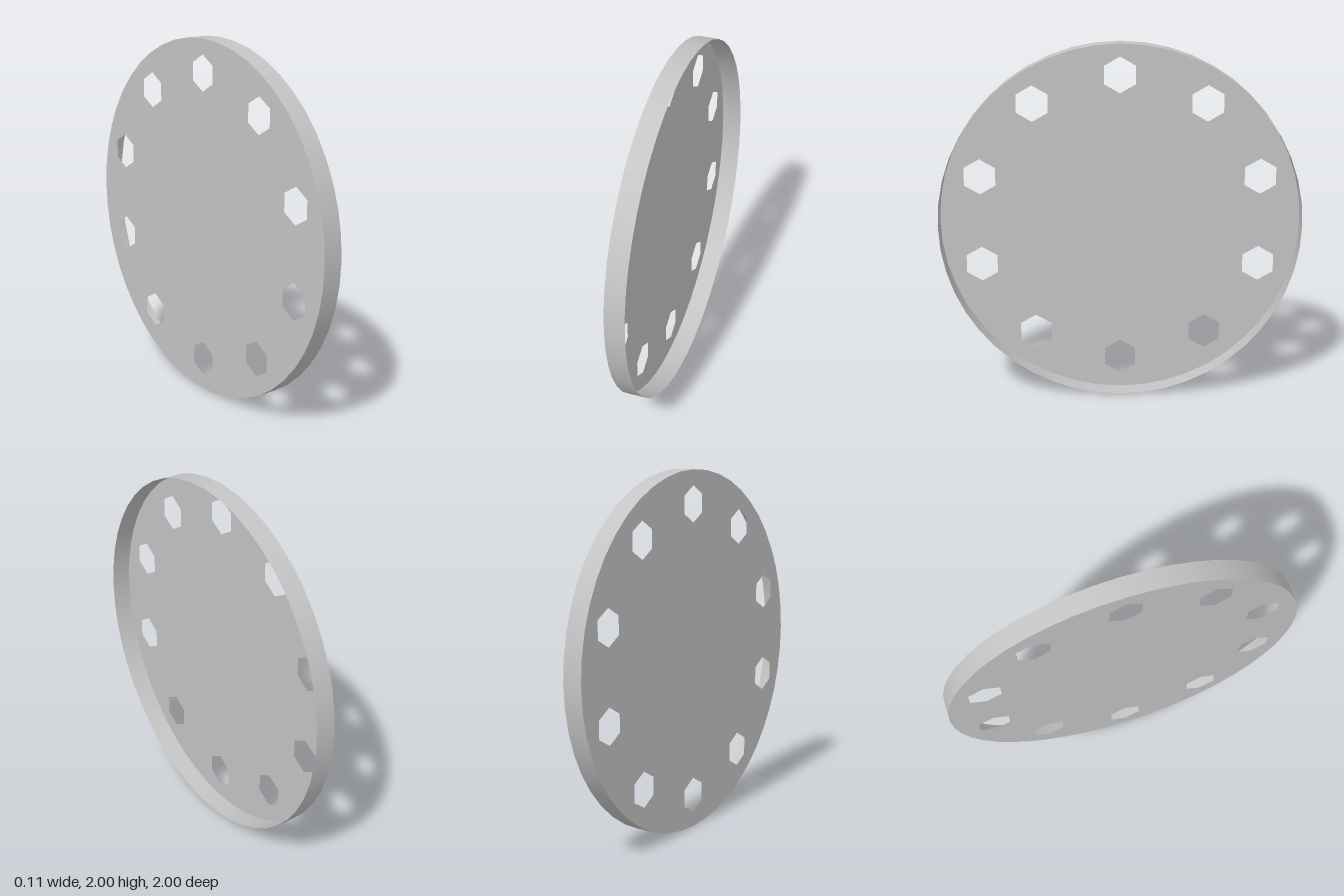
import * as THREE from 'three';

const SEGMENTS = 48;
const DEPTH = 0.11;
const HOLES = 10;
const HOLE_RING = 0.815;
const HOLE_RADIUS = 0.1;

// Points of a regular polygon with one corner pointing straight up
function polygon(cx, cy, radius, sides) {
  return Array.from({ length: sides }, (_, i) => {
    const a = Math.PI / 2 + (i / sides) * Math.PI * 2;
    return new THREE.Vector2(cx + radius * Math.cos(a), cy + radius * Math.sin(a));
  });
}

export function createModel() {
  const group = new THREE.Group();
  group.name = 'perforatedDish';
  const grey = new THREE.MeshStandardMaterial({ color: 0xc4c4c4, side: THREE.DoubleSide });
  grey.name = 'light grey';

  // Thin disc pierced by a ring of upright hexagonal holes
  const outline = new THREE.Shape(polygon(0, 0, 1, SEGMENTS));
  for (let i = 0; i < HOLES; i++) {
    const a = Math.PI / 2 + (i / HOLES) * Math.PI * 2;
    const hole = polygon(HOLE_RING * Math.cos(a), HOLE_RING * Math.sin(a), HOLE_RADIUS, 6);
    outline.holes.push(new THREE.Path(hole));
  }
  const disc = new THREE.Mesh(new THREE.ShapeGeometry(outline).rotateY(-Math.PI / 2), grey);
  disc.name = 'perforatedDisc';
  disc.position.set(-DEPTH / 2, 1, 0);
  group.add(disc);

  // Smooth rim wall, open toward the model's left
  const wall = new THREE.CylinderGeometry(1, 1, DEPTH, SEGMENTS, 1, true).rotateZ(Math.PI / 2);
  const rim = new THREE.Mesh(wall, grey);
  rim.name = 'rim';
  rim.position.y = 1;
  group.add(rim);

  return group;
}
